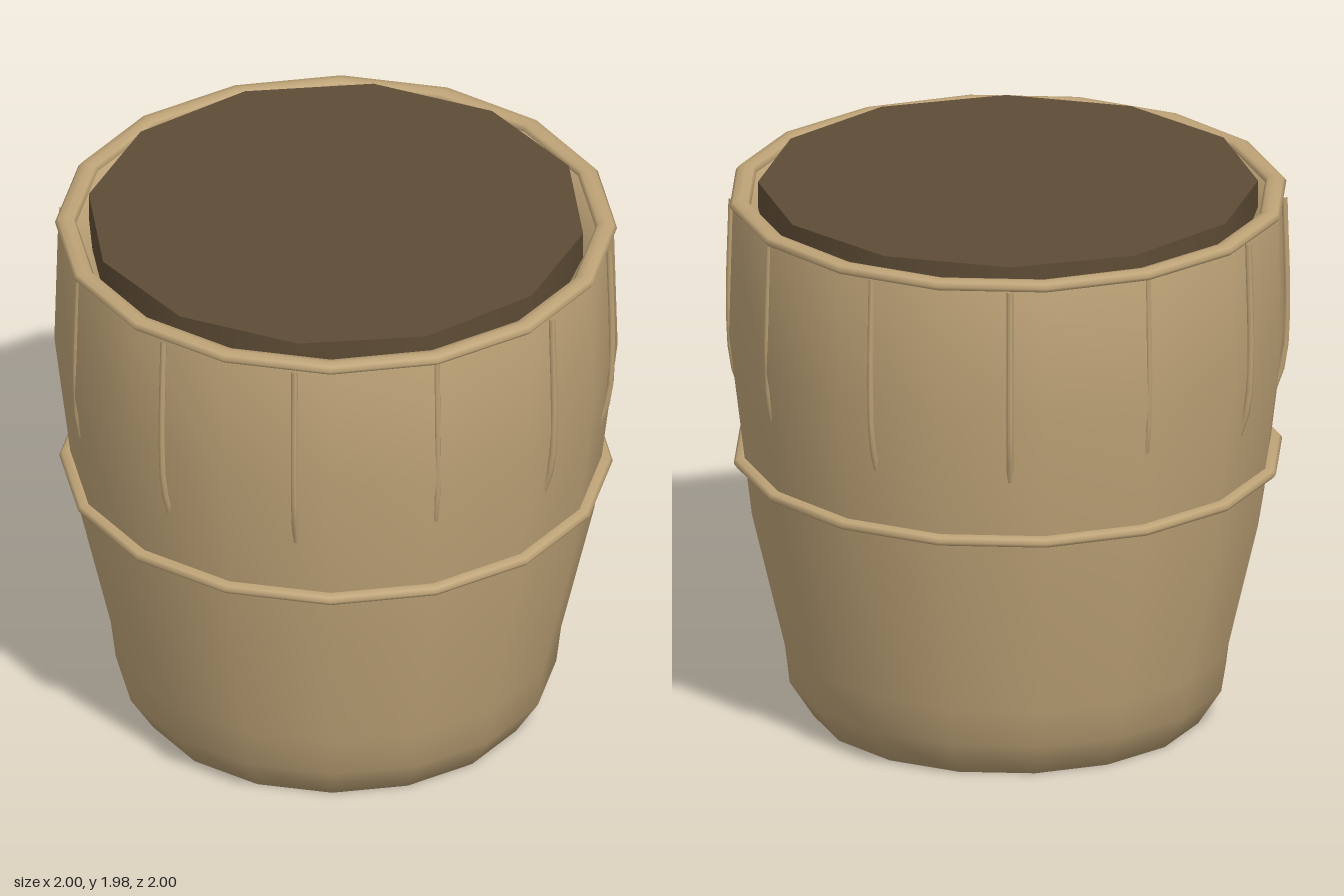
import * as THREE from 'three';

const clay = new THREE.MeshStandardMaterial({ color: 0xbea377 });
clay.name = 'tan clay';
const soil = new THREE.MeshStandardMaterial({ color: 0x5e4c35 });
soil.name = 'dark brown';

function add(parent, name, geometry, material, y = 0) {
  const mesh = new THREE.Mesh(geometry, material);
  mesh.name = name;
  mesh.position.y = y;
  parent.add(mesh);
  return mesh;
}

// Flattened ring running around the pot
function ringGeometry(radius, halfWidth, halfHeight) {
  return new THREE.TorusGeometry(radius, halfWidth, 8, 16)
    .rotateX(Math.PI / 2)
    .scale(1, halfHeight / halfWidth, 1);
}

export function createModel() {
  const pot = new THREE.Group();
  pot.name = 'pot';

  // Bulging wall with closed base and a lip that turns inward
  const profile = [
    [0, 0], [0.695, 0], [0.78, 0.13], [0.797, 0.27], [0.915, 0.77],
    [0.997, 1.45], [0.984, 1.92], [0.93, 1.93], [0.85, 1.8],
  ].map(([r, y]) => new THREE.Vector2(r, y));
  add(pot, 'wall', new THREE.LatheGeometry(profile, 16), clay);

  // Raised rings at the lip and the waist
  add(pot, 'rimRing', ringGeometry(0.957, 0.038, 0.021), clay, 1.933);
  add(pot, 'waistRing', ringGeometry(0.946, 0.034, 0.02), clay, 0.965);

  // Dark filling standing just above the rim
  add(pot, 'filling', new THREE.CylinderGeometry(0.885, 0.885, 0.16, 12), soil, 1.9);

  // Thin ribs that follow the wall down and sink into it
  const path = new THREE.CatmullRomCurve3(
    [[0.979, 1.92], [0.988, 1.5], [0.974, 1.3], [0.938, 1.19]]
      .map(([r, y]) => new THREE.Vector3(0, y, r)),
  );
  const ribGeometry = new THREE.TubeGeometry(path, 8, 0.012, 6);
  const ribs = new THREE.Group();
  ribs.name = 'ribs';
  for (let i = 0; i < 12; i++) {
    add(ribs, 'rib', ribGeometry, clay).rotation.y = (i * Math.PI) / 6;
  }
  pot.add(ribs);

  return pot;
}
